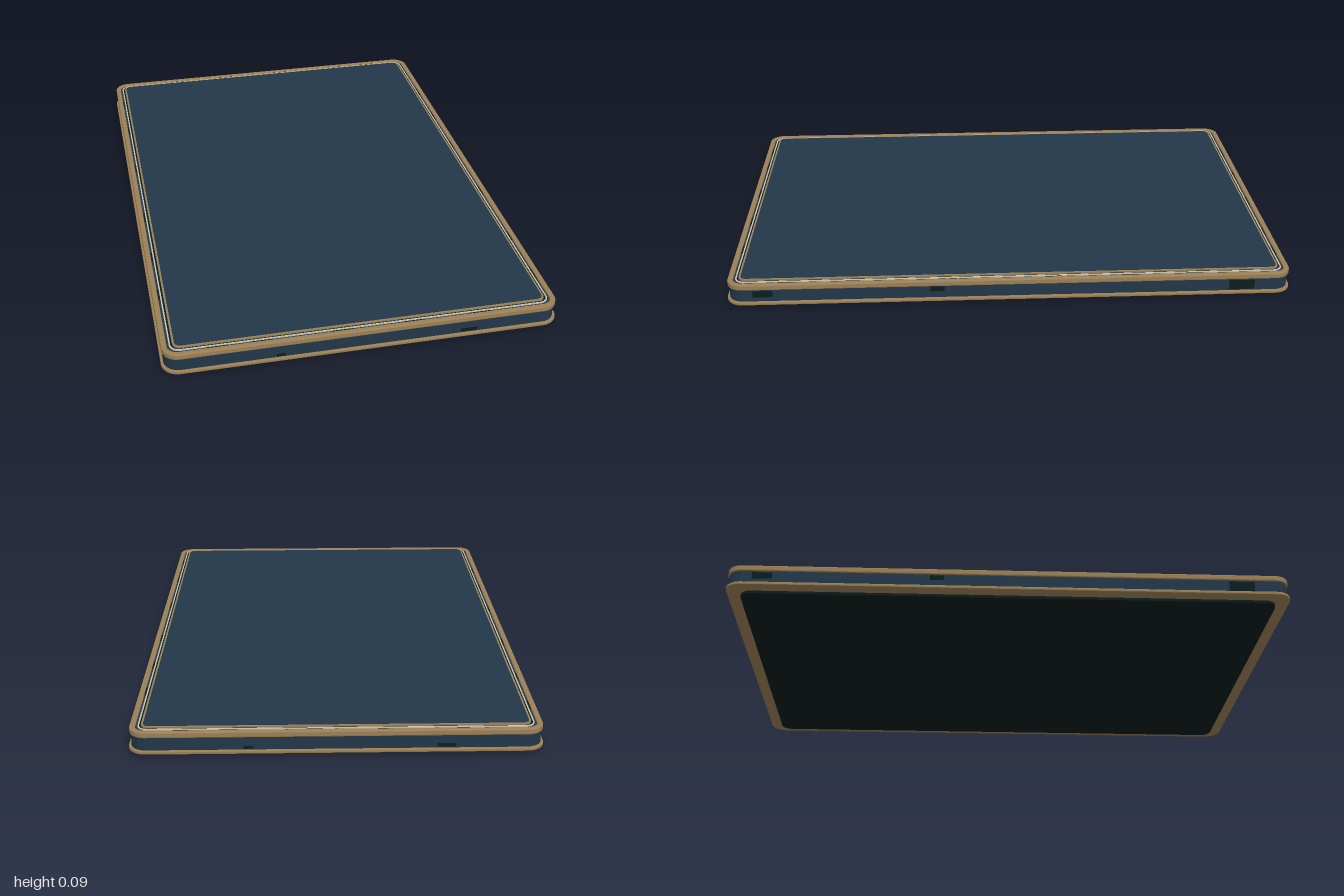
import * as THREE from 'three';

export function createModel() {
  const model = new THREE.Group();
  const material = (name, color) => {
    const m = new THREE.MeshStandardMaterial({ color });
    m.name = name;
    return m;
  };
  const navy = material('navy', 0x22374a);
  const tan = material('tan', 0x9c8056);
  const dark = material('dark green', 0x0b1c1c);
  const pale = material('pale trim', 0xc4c2b4);

  // Rounded rectangle with half sizes hx, hz and corner radius r
  function outline(path, hx, hz, r) {
    path.moveTo(hx, -hz + r);
    path.lineTo(hx, hz - r);
    path.absarc(hx - r, hz - r, r, 0, Math.PI / 2);
    path.lineTo(-hx + r, hz);
    path.absarc(-hx + r, hz - r, r, Math.PI / 2, Math.PI);
    path.lineTo(-hx, -hz + r);
    path.absarc(-hx + r, -hz + r, r, Math.PI, Math.PI * 1.5);
    path.lineTo(hx - r, -hz);
    path.absarc(hx - r, -hz + r, r, Math.PI * 1.5, Math.PI * 2);
    return path;
  }

  // Flat layer from y0 to y1; a frame width cuts out the middle
  function layer(name, mat, hx, hz, r, y0, y1, frame = 0, bevel = 0) {
    const shape = outline(new THREE.Shape(), hx, hz, r);
    if (frame) shape.holes.push(outline(new THREE.Path(), hx - frame, hz - frame, Math.max(r - frame, 0.015)));
    const geometry = new THREE.ExtrudeGeometry(shape, {
      depth: y1 - y0 - 2 * bevel, curveSegments: 10, bevelEnabled: bevel > 0,
      bevelSize: bevel, bevelThickness: bevel, bevelOffset: -bevel, bevelSegments: 2,
    });
    geometry.rotateX(-Math.PI / 2);
    geometry.translate(0, y0 + bevel, 0);
    const mesh = new THREE.Mesh(geometry, mat);
    mesh.name = name;
    model.add(mesh);
  }

  layer('bottomPad', dark, 0.638, 0.952, 0.04, 0, 0.012);
  layer('lowerRim', tan, 0.685, 1.0, 0.06, 0.01, 0.022, 0, 0.003);
  layer('body', navy, 0.676, 0.991, 0.053, 0.02, 0.083);
  layer('upperRim', tan, 0.681, 0.996, 0.056, 0.067, 0.088, 0.02, 0.004);
  layer('paleInlay', pale, 0.654, 0.969, 0.034, 0.08, 0.087, 0.005);
  layer('darkGroove', dark, 0.649, 0.964, 0.03, 0.08, 0.085, 0.006);
  layer('innerTrim', tan, 0.643, 0.958, 0.028, 0.08, 0.0905, 0.007);
  layer('topPanel', navy, 0.636, 0.951, 0.022, 0.08, 0.092);

  function patch(name, w, h, d, x, y, z) {
    const mesh = new THREE.Mesh(new THREE.BoxGeometry(w, h, d), dark);
    mesh.name = name;
    mesh.position.set(x, y, z);
    model.add(mesh);
  }

  // Dark flecks in the channel inside the upper rim
  for (const side of [-1, 1]) {
    for (const x of [-0.4, -0.17, 0.08, 0.35, 0.5]) patch('channelFleck', 0.07, 0.002, 0.006, x * -side, 0.0835, side * 0.973);
    for (const z of [-0.65, -0.42, -0.15, 0.22, 0.55, 0.8]) patch('channelFleck', 0.006, 0.002, 0.06, side * 0.658, 0.0835, z * side);
  }

  // Dark flecks on the side walls: position along the wall, height, length, thickness
  for (const side of [-1, 1]) {
    for (const [x, y, l, h] of [[0.36, 0.032, 0.06, 0.012], [-0.29, 0.03, 0.03, 0.01]])
      patch('wallFleck', l, h, 0.002, x * side, y, side * 0.991);
    for (const [z, y, l, h] of [[0.87, 0.05, 0.07, 0.024], [0.26, 0.055, 0.05, 0.018], [-0.82, 0.044, 0.09, 0.036]])
      patch('wallFleck', 0.002, h, l, side * 0.676, y, z * side);
  }

  return model;
}
